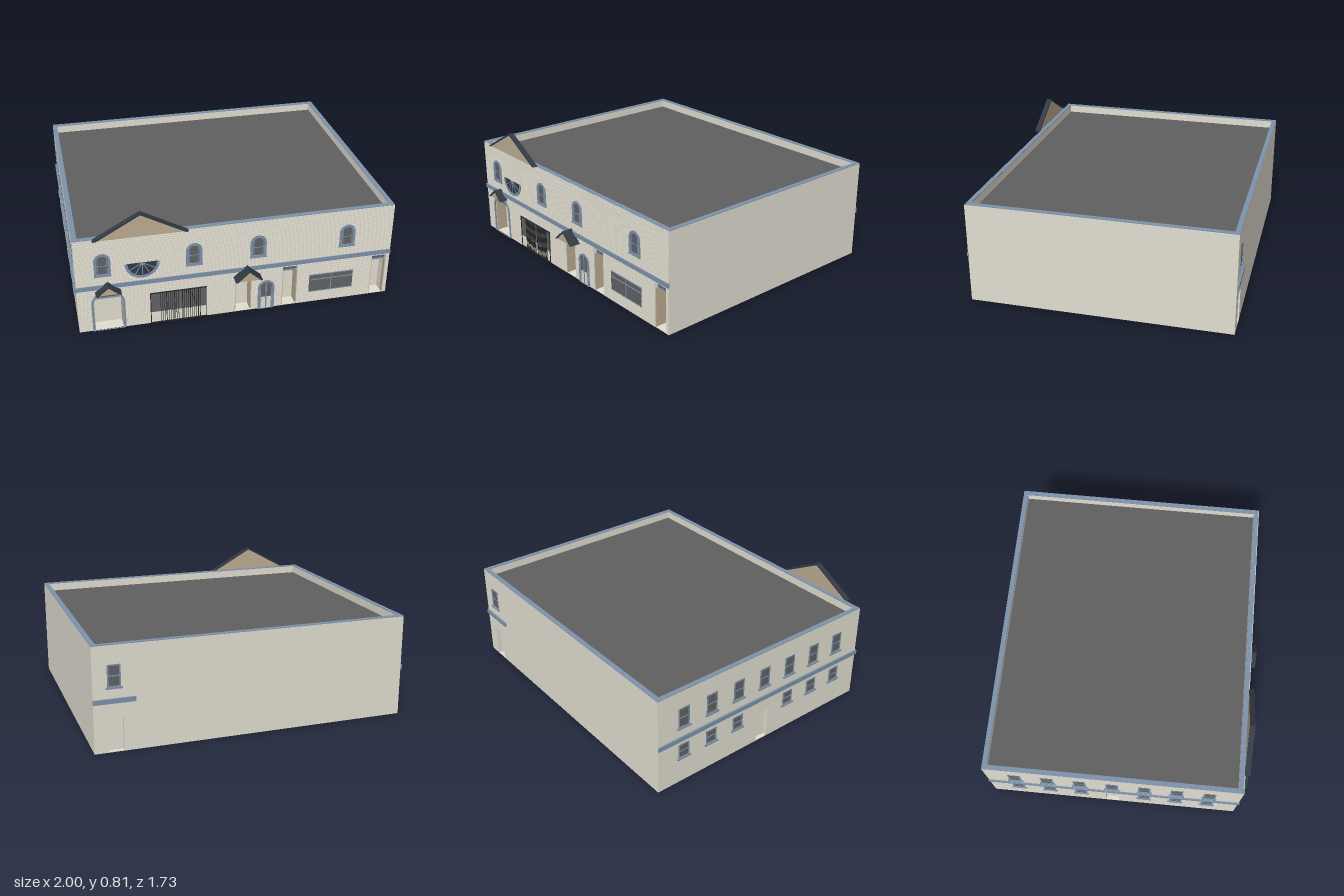
import * as THREE from 'three';

const mat = (name, color) =>
  Object.assign(new THREE.MeshStandardMaterial({ color }), { name });

export function createModel() {
  const cream = mat('cream wall', 0xe1ddd0);
  const blue = mat('blue trim', 0x7d92ab);
  const glass = mat('dark glass', 0x616263);
  const roofGrey = mat('roof grey', 0x606060);
  const slate = mat('slate', 0x323a43);
  const tan = mat('tan boards', 0xbcab92);
  const black = mat('black iron', 0x26282a);

  const root = new THREE.Group();
  const L = -0.99, R = 0.998, F = 0.792, B = -0.853, H = 0.65, T = 0.03, ROOF = 0.6;

  const add = (parent, name, geo, material, x = 0, y = 0, z = 0) => {
    const m = new THREE.Mesh(geo, material);
    m.name = name;
    m.position.set(x, y, z);
    parent.add(m);
    return m;
  };
  // box given by its low and high corners
  const box = (parent, name, x0, x1, y0, y1, z0, z1, material) =>
    add(parent, name, new THREE.BoxGeometry(x1 - x0, y1 - y0, z1 - z0), material,
      (x0 + x1) / 2, (y0 + y1) / 2, (z0 + z1) / 2);
  const extrude = (shape, depth) =>
    new THREE.ExtrudeGeometry(shape, { depth, bevelEnabled: false, curveSegments: 10 });
  const poly = pts => new THREE.Shape(pts.map(p => new THREE.Vector2(...p)));
  const side = (name, x, z, ry) => {
    const g = new THREE.Group();
    g.name = name;
    g.position.set(x, 0, z);
    g.rotation.y = ry;
    root.add(g);
    return g;
  };
  // each facade is built facing +z with its surface at z = 0
  const front = side('frontFacade', 0, F, 0);
  const back = side('backFacade', 0, B, Math.PI);
  const rightSide = side('rightFacade', L, 0, -Math.PI / 2);
  const leftSide = side('leftFacade', R, 0, Math.PI / 2);

  // wall with doorways cut up from the ground
  const wall = (parent, x0, x1, doors = []) => {
    const s = new THREE.Shape();
    s.moveTo(x0, 0);
    for (const d of doors) {
      s.lineTo(d.x - d.w / 2, 0);
      if (d.arch) s.absarc(d.x, d.top - d.w / 2, d.w / 2, Math.PI, 0, true);
      else s.lineTo(d.x - d.w / 2, d.top).lineTo(d.x + d.w / 2, d.top);
      s.lineTo(d.x + d.w / 2, 0);
    }
    s.lineTo(x1, 0).lineTo(x1, H).lineTo(x0, H).closePath();
    add(parent, 'wall', extrude(s, T), cream, 0, 0, -T);
  };

  const frontDoors = [
    { x: -0.805, w: 0.18, top: 0.28, arch: true },
    { x: 0.037, w: 0.105, top: 0.27 },
    { x: 0.339, w: 0.096, top: 0.29 },
    { x: 0.928, w: 0.096, top: 0.29 },
  ];
  const rightDoor = { x: -0.036, w: 0.085, top: 0.21 };
  const backDoor = { x: -0.865, w: 0.09, top: 0.215 };
  wall(front, L, R, frontDoors);
  wall(back, -R, -L, [backDoor]);
  wall(rightSide, B + T, F - T, [rightDoor]);
  wall(leftSide, -F + T, -B - T);

  // boards with a chamfered lower edge over the front, interrupted at the doorways
  const rows = 44, pitch = H / rows;
  for (let i = 0; i < rows; i++) {
    const y = (i + 0.5) * pitch;
    let x = L;
    const board = x1 => {
      const g = new THREE.BoxGeometry(x1 - x, pitch, 0.004);
      const p = g.attributes.position;
      for (let k = 0; k < p.count; k++)
        if (p.getY(k) < 0 && p.getZ(k) > 0) p.setY(k, p.getY(k) + 0.0025);
      g.computeVertexNormals();
      add(front, 'sidingBoard', g, cream, (x + x1) / 2, y, 0.002);
    };
    for (const d of frontDoors) {
      if (y > d.top) continue;
      const rise = d.arch ? Math.max(0, y - d.top + d.w / 2) : 0;
      const half = Math.sqrt(Math.max(0, d.w * d.w / 4 - rise * rise));
      board(d.x - half);
      x = d.x + half;
    }
    board(R);
  }

  // roof deck over a cream ceiling, and parapet coping
  box(root, 'roofDeck', L + T, R - T, ROOF - 0.008, ROOF, B + T, F - T,
    [cream, cream, roofGrey, cream, cream, cream]);
  const rim = poly([[L, -F], [R, -F], [R, -B], [L, -B]]);
  rim.holes.push(poly([[L + T, -F + T], [R - T, -F + T], [R - T, -B - T], [L + T, -B - T]]));
  add(root, 'coping', extrude(rim, 0.004), blue, 0, H, 0).rotation.x = -Math.PI / 2;

  // string courses
  box(front, 'frontBelt', -1, 1, 0.303, 0.332, 0, 0.01, blue);
  box(rightSide, 'sideBelt', B, F, 0.303, 0.332, 0, 0.01, blue);
  box(back, 'backBelt', -R, -0.745, 0.303, 0.331, 0, 0.012, blue);

  // front doors set deep between tan jambs, with a transom light above
  const DEEP = 0.075;
  frontDoors.forEach((d, i) => {
    const head = i < 2 ? 0.222 : 0.255, x0 = d.x - d.w / 2, x1 = d.x + d.w / 2;
    box(front, 'door', x0, x1, 0, head, -DEEP - 0.006, -DEEP, cream);
    box(front, 'threshold', x0, x1, 0, 0.004, -DEEP, 0, cream);
    box(front, 'soffit', x0, x1, head, head + 0.004, -DEEP - 0.006, -T, cream);
    box(front, 'transom', x0, x1, head, d.top, -T, -0.02, glass);
    box(front, 'transomBar', x0, x1, head - 0.004, head + 0.004, -T, -0.016, blue);
    for (const x of [x0, x1 - 0.005])
      box(front, 'doorJamb', x, x + 0.005, 0.004, head, -DEEP, -0.001, tan);
  });

  // plain doors on the side and back, dark on the inside
  for (const [parent, d] of [[rightSide, rightDoor], [back, backDoor]]) {
    box(parent, 'plainDoor', d.x - d.w / 2, d.x + d.w / 2, 0, d.top, -T - 0.005, -T + 0.004,
      [cream, cream, cream, cream, cream, slate]);
    box(parent, 'threshold', d.x - d.w / 2, d.x + d.w / 2, 0, 0.004, -T, 0, cream);
  }

  // arched outline, optionally shrunk by an inset
  const archPath = (Type, w, h, inset = 0, foot = inset) => {
    const r = w / 2 - inset, s = new Type();
    s.moveTo(-r, foot).lineTo(r, foot);
    s.absarc(0, h - w / 2, r, 0, Math.PI, false);
    s.lineTo(-r, foot);
    return s;
  };
  const archFrame = (name, x, y, w, h, t, foot) => {
    const s = archPath(THREE.Shape, w, h);
    s.holes.push(archPath(THREE.Path, w, h, t, foot));
    add(front, name, extrude(s, 0.006), blue, x, y, 0.003);
  };

  // arched upper windows
  for (const x of [-0.827, -0.272, 0.128, 0.7]) {
    archFrame('archWindowFrame', x, 0.397, 0.1, 0.153, 0.016, 0.012);
    add(front, 'archWindowGlass', extrude(archPath(THREE.Shape, 0.1, 0.153, 0.014), 0.003), glass, x, 0.397, 0.003);
    box(front, 'sash', x - 0.035, x + 0.035, 0.465, 0.469, 0.004, 0.008, blue);
    for (const s of [-0.028, 0.028])
      box(front, 'sashSide', x + s - 0.002, x + s + 0.002, 0.41, 0.52, 0.004, 0.008, blue);
    box(front, 'windowSill', x - 0.053, x + 0.053, 0.392, 0.4, 0, 0.011, blue);
  }

  // arched surround of the main entrance
  archFrame('entranceSurround', -0.805, 0, 0.205, 0.292, 0.0135, 0.001);

  // small arched door
  archFrame('archDoorFrame', 0.186, 0, 0.106, 0.212, 0.013, 0.004);
  add(front, 'archDoorGlass', extrude(archPath(THREE.Shape, 0.106, 0.212, 0.012, 0.09), 0.004), glass, 0.186, 0, 0.002);
  box(front, 'archDoorPanel', 0.145, 0.227, 0.004, 0.09, 0.001, 0.006, cream);
  box(front, 'archDoorStile', 0.182, 0.19, 0.004, 0.198, 0.003, 0.008, blue);
  for (const x of [0.147, 0.219])
    box(front, 'archDoorSide', x, x + 0.006, 0.004, 0.165, 0.003, 0.008, blue);

  // half-round fan window standing proud of the wall
  const fan = new THREE.Group();
  fan.name = 'fanWindow';
  fan.position.set(-0.592, 0.475, 0.028);
  front.add(fan);
  const half = r => new THREE.Shape().absarc(0, 0, r, Math.PI, Math.PI * 2, false);
  add(fan, 'fanGlass', extrude(half(0.098), 0.003), slate);
  const ring = new THREE.Shape().absarc(0, 0, 0.105, Math.PI, Math.PI * 2, false);
  ring.absarc(0, 0, 0.088, Math.PI * 2, Math.PI, true);
  add(fan, 'fanRim', extrude(ring, 0.005), blue);
  add(fan, 'fanHub', extrude(half(0.018), 0.005), blue);
  for (let i = 1; i < 6; i++) {
    const a = Math.PI + i * Math.PI / 6;
    const spoke = box(fan, 'fanSpoke', -0.046, 0.046, -0.0025, 0.0025, 0, 0.005, blue);
    spoke.position.set(Math.cos(a) * 0.047, Math.sin(a) * 0.047, 0.0025);
    spoke.rotation.z = a;
  }

  // shop window behind an iron gate, its bars gathered towards the middle
  box(front, 'shopGlass', -0.547, -0.197, 0.085, 0.228, 0, 0.006, glass);
  for (const y of [0.003, 0.222]) box(front, 'gateRail', -0.55, -0.194, y, y + 0.006, 0.005, 0.01, black);
  for (let i = 0; i < 29; i++) {
    if ((i > 0 && i < 5) || i === 15 || i === 26 || i === 27) continue;
    const x = -0.547 + i * 0.0124, w = i % 4 ? 0.0013 : 0.0024;
    box(front, 'gateBar', x - w, x + w, 0, 0.228, 0.006, 0.01, black);
  }

  // wide shop window
  box(front, 'wideGlass', 0.468, 0.758, 0.083, 0.207, 0, 0.006, glass);
  box(front, 'wideTransom', 0.468, 0.758, 0.168, 0.175, 0.004, 0.008, blue);
  box(front, 'wideMullion', 0.61, 0.616, 0.083, 0.207, 0.004, 0.008, blue);
  for (const y of [0.08, 0.204]) box(front, 'wideEdge', 0.466, 0.76, y, y + 0.005, 0, 0.008, blue);

  // plain sash windows on the side and back
  const sashWindow = (parent, x, y, w, h) => {
    const x0 = x - w / 2, x1 = x + w / 2;
    box(parent, 'sashGlass', x0, x1, y, y + h, 0, 0.0015, glass);
    for (const e of [x0, x1 - 0.009]) box(parent, 'sashStile', e, e + 0.009, y, y + h, 0, 0.003, blue);
    for (const e of [y, y + h / 2 - 0.004, y + h - 0.008])
      box(parent, 'sashRail', x0, x1, e, e + 0.008, 0, 0.003, blue);
    box(parent, 'sashSill', x0 - 0.01, x1 + 0.01, y - 0.01, y, 0, 0.01, blue);
  };
  for (let i = 0; i < 7; i++) {
    const x = -0.665 + i * 0.21;
    sashWindow(rightSide, x, 0.4, 0.08, 0.135);
    if (i !== 3) sashWindow(rightSide, x, 0.18, 0.08, 0.095);
  }
  sashWindow(back, -0.871, 0.4, 0.08, 0.135);

  // gables: tan triangle under a slate roof
  const gable = (name, x, w, y, h, z1, t) => {
    const g = new THREE.Group();
    g.name = name;
    g.position.set(x, y, 0);
    front.add(g);
    const a = w / 2, k = t * a / h;
    add(g, 'gableFace', extrude(poly([[-a + k, 0], [a - k, 0], [0, h - t]]), z1 - 0.008), tan);
    add(g, 'gableRoof', extrude(poly([[-a, 0], [-a + k, 0], [0, h - t], [a - k, 0], [a, 0], [0, h]]), z1), slate);
  };
  gable('parapetGable', -0.592, 0.57, 0.654, 0.158, 0.034, 0.011);
  gable('entrancePorch', -0.802, 0.155, 0.285, 0.065, 0.058, 0.012);
  gable('doorPorch', 0.059, 0.172, 0.266, 0.078, 0.073, 0.012);

  return root;
}
